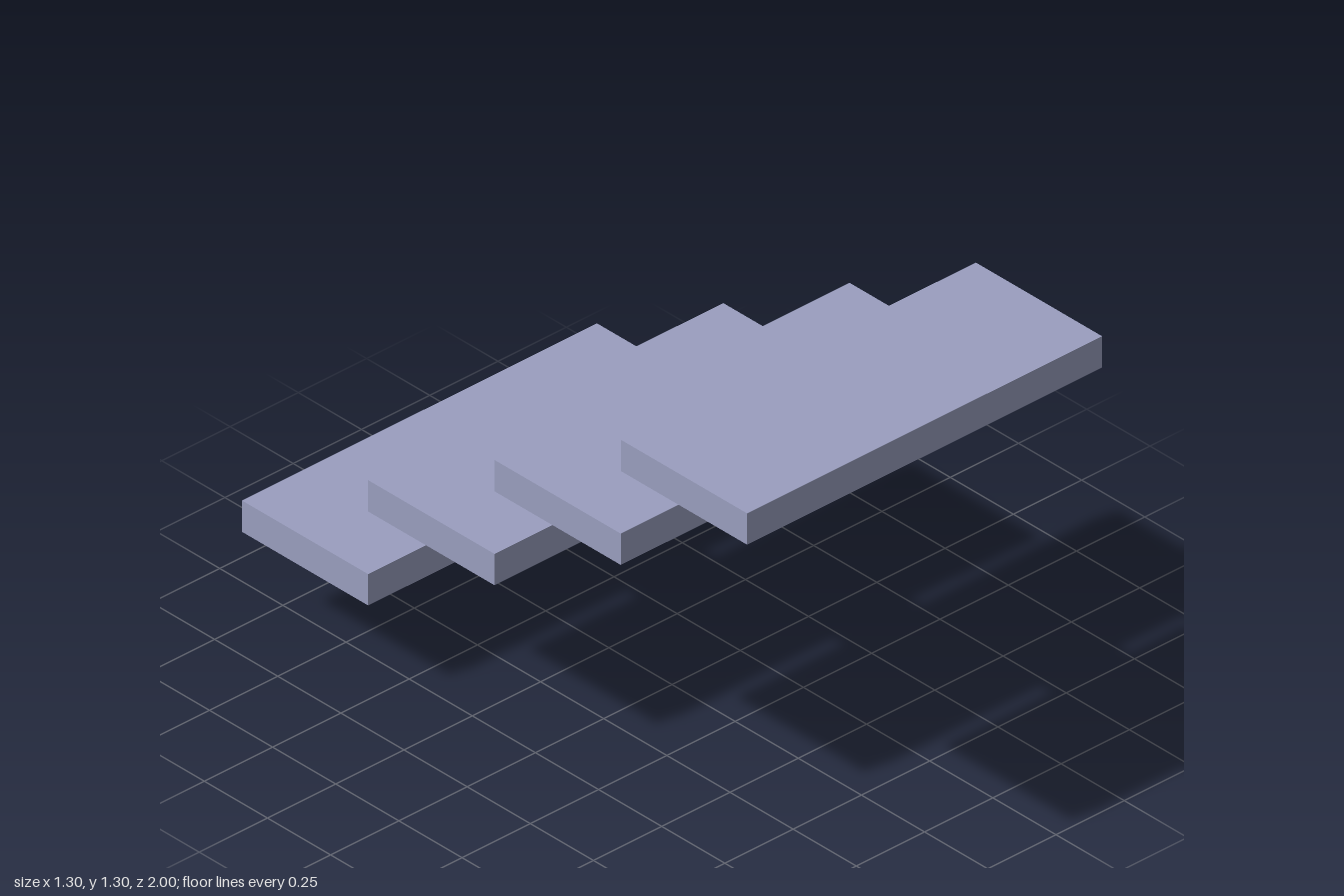
import * as THREE from 'three';

export function createModel() {
  const group = new THREE.Group();
  const paint = new THREE.MeshStandardMaterial({ color: 0x9a9ebf });
  paint.name = 'greyBlue';

  // Four floating treads, rising towards the front
  const treadGeometry = new THREE.BoxGeometry(1.3, 0.1, 0.5);
  for (let i = 0; i < 4; i++) {
    const tread = new THREE.Mesh(treadGeometry, paint);
    tread.name = `tread${i + 1}`;
    tread.position.set(0, 0.35 + 0.3 * i, -0.75 + 0.5 * i);
    group.add(tread);
  }

  // Central beam with a short foot: side profile as (z, y)
  const profile = new THREE.Shape([
    [-1, 0], [-0.9, 0], [-0.9, 0.155], [0.858, 1.21], [0.667, 1.21], [-1, 0.21],
  ].map(([z, y]) => new THREE.Vector2(z, y)));
  const beamGeometry = new THREE.ExtrudeGeometry(profile, { depth: 0.2, bevelEnabled: false });
  beamGeometry.rotateY(-Math.PI / 2).translate(0.1, 0, 0);
  const beam = new THREE.Mesh(beamGeometry, paint);
  beam.name = 'centralBeam';
  group.add(beam);

  return group;
}
